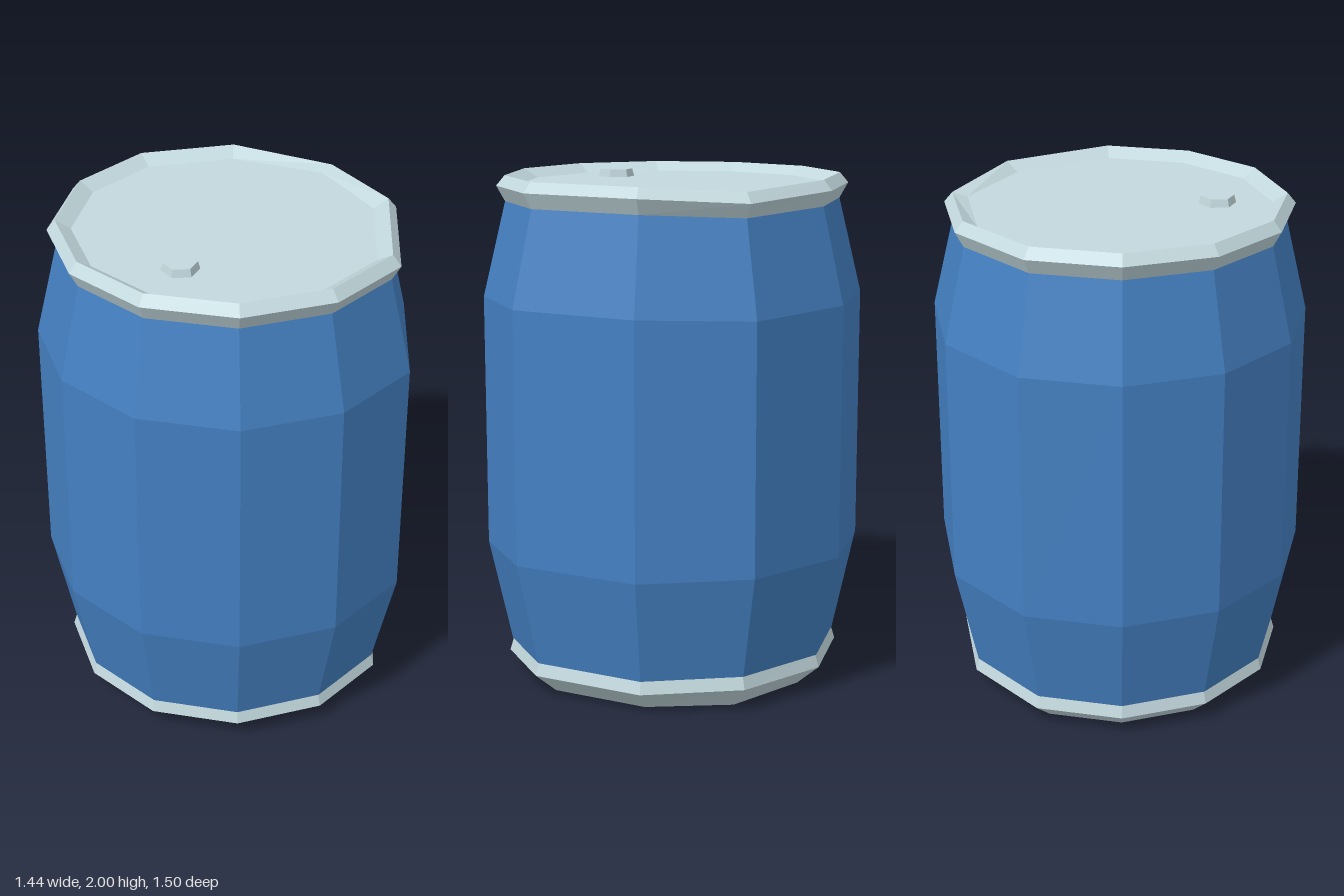
import * as THREE from 'three';

// Irregular eleven-sided outline of the belly, as [x, z], clockwise from above
const OUTLINE = [
  [0.055, -0.75], [0.45, -0.585], [0.72, -0.2], [0.685, 0.245], [0.375, 0.66], [0, 0.745],
  [-0.375, 0.63], [-0.64, 0.345], [-0.72, -0.03], [-0.605, -0.4], [-0.32, -0.665],
];
const DENTED = 2; // corner where the rims are knocked out of level

// Stack scaled copies of the outline; each level is [scale, y, dent]
function shell(levels, capBottom = false, capTop = false) {
  const rings = levels.map(([s, y, dent = 0]) =>
    OUTLINE.map(([x, z], i) => [x * s, y + (i === DENTED ? dent : 0), z * s]));
  const pos = [];
  const tri = (...corners) => corners.forEach((p) => pos.push(...p));
  const n = OUTLINE.length;
  for (let i = 0; i < n; i++) {
    const j = (i + 1) % n;
    for (let k = 0; k < rings.length - 1; k++) {
      const lo = rings[k], hi = rings[k + 1];
      tri(lo[j], lo[i], hi[i]);
      tri(lo[j], hi[i], hi[j]);
    }
    const first = rings[0], last = rings[rings.length - 1];
    if (capBottom) tri([0, levels[0][1], 0], first[i], first[j]);
    if (capTop) tri([0, levels[levels.length - 1][1], 0], last[j], last[i]);
  }
  const geo = new THREE.BufferGeometry();
  geo.setAttribute('position', new THREE.Float32BufferAttribute(pos, 3));
  geo.computeVertexNormals();
  return geo;
}

export function createModel() {
  const group = new THREE.Group();
  group.name = 'barrel';

  const blue = new THREE.MeshStandardMaterial({ color: 0x4480c2 });
  blue.name = 'blue paint';
  const steel = new THREE.MeshStandardMaterial({ color: 0xc2d8dd });
  steel.name = 'pale steel';

  const add = (name, geo, mat) => {
    const mesh = new THREE.Mesh(geo, mat);
    mesh.name = name;
    group.add(mesh);
    return mesh;
  };

  // Bulging body
  add('body', shell([
    [0.88, 0.13, 0.01], [1, 0.54, 0.01], [1, 1.53, -0.01], [0.88, 1.9, -0.015],
  ]), blue);

  // Base with its bevelled hoop
  add('base', shell([[0.77, 0], [0.895, 0.08, 0.01], [0.875, 0.13, 0.01]], true), steel);

  // Top hoop folding inwards to the sunken lid
  add('lid', shell([
    [0.88, 1.9, -0.015], [0.925, 1.96, -0.02], [0.88, 2, -0.02], [0.8, 1.965],
  ], false, true), steel);

  // Hexagonal filler plug
  const plug = new THREE.CylinderGeometry(0.064, 0.072, 0.03, 6).toNonIndexed();
  plug.computeVertexNormals();
  add('plug', plug, steel).position.set(-0.325, 1.98, 0.18);

  return group;
}
